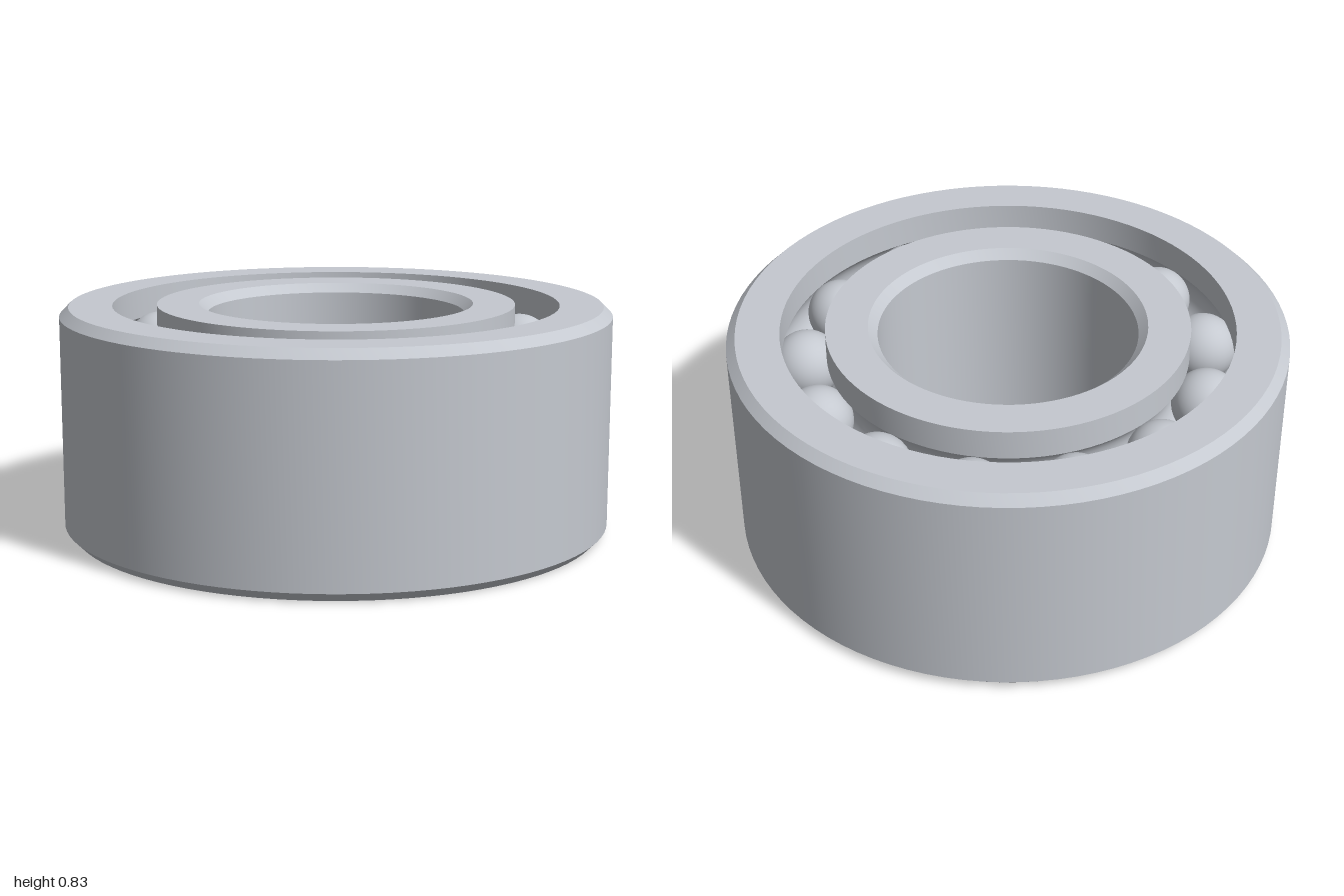
import * as THREE from 'three';
import { toCreasedNormals } from 'three/addons/utils/BufferGeometryUtils.js';

const H = 0.83;            // width of the bearing
const C = 0.033;           // chamfer
const PITCH = 0.73;        // radius of the ball circle
const GAP = 0.08;          // half the gap between the rings
const BALL = 0.124;
const ROWS = [0.205, H - 0.205];
const BALLS_PER_ROW = 13;

// Raceway arc in the profile: side +1 cuts the outer ring (running down), -1 the inner ring (running up)
function raceway(y, side) {
  const r = BALL + 0.001, a = Math.acos(GAP / r), steps = 10;
  return Array.from({ length: steps + 1 }, (_, i) => {
    const t = side * (a - (2 * a * i) / steps);
    return [PITCH + side * r * Math.cos(t), y + r * Math.sin(t)];
  });
}

// Solid ring from a closed counterclockwise (radius, height) profile
function ring(name, profile, material) {
  const points = [...profile, profile[0]].map(([r, y]) => new THREE.Vector2(r, y));
  const mesh = new THREE.Mesh(toCreasedNormals(new THREE.LatheGeometry(points, 96), 0.5), material);
  mesh.name = name;
  return mesh;
}

export function createModel() {
  const steel = new THREE.MeshStandardMaterial({ color: 0xc5c9d0 });
  steel.name = 'steel';
  const group = new THREE.Group();
  group.name = 'doubleRowBallBearing';

  // Outer ring: chamfered outside, two grooves inside
  const wide = PITCH + GAP;
  group.add(ring('outerRing', [
    [wide, 0], [1 - C, 0], [1, C], [1, H - C], [1 - C, H], [wide, H],
    ...raceway(ROWS[1], 1), ...raceway(ROWS[0], 1),
  ], steel));

  // Inner ring: two grooves outside, chamfered bore
  const narrow = PITCH - GAP, bore = 0.465;
  group.add(ring('innerRing', [
    [narrow, 0], ...raceway(ROWS[0], -1), ...raceway(ROWS[1], -1), [narrow, H],
    [bore + C, H], [bore, H - C], [bore, C], [bore + C, 0],
  ], steel));

  // Two aligned rows of balls
  const ballGeometry = new THREE.SphereGeometry(BALL, 32, 20);
  ROWS.forEach((y, row) => {
    const balls = new THREE.Group();
    balls.name = row ? 'upperBallRow' : 'lowerBallRow';
    for (let i = 0; i < BALLS_PER_ROW; i++) {
      const a = (i / BALLS_PER_ROW) * Math.PI * 2;
      const ball = new THREE.Mesh(ballGeometry, steel);
      ball.name = 'ball';
      ball.position.set(PITCH * Math.cos(a), y, PITCH * Math.sin(a));
      balls.add(ball);
    }
    group.add(balls);
  });

  return group;
}
